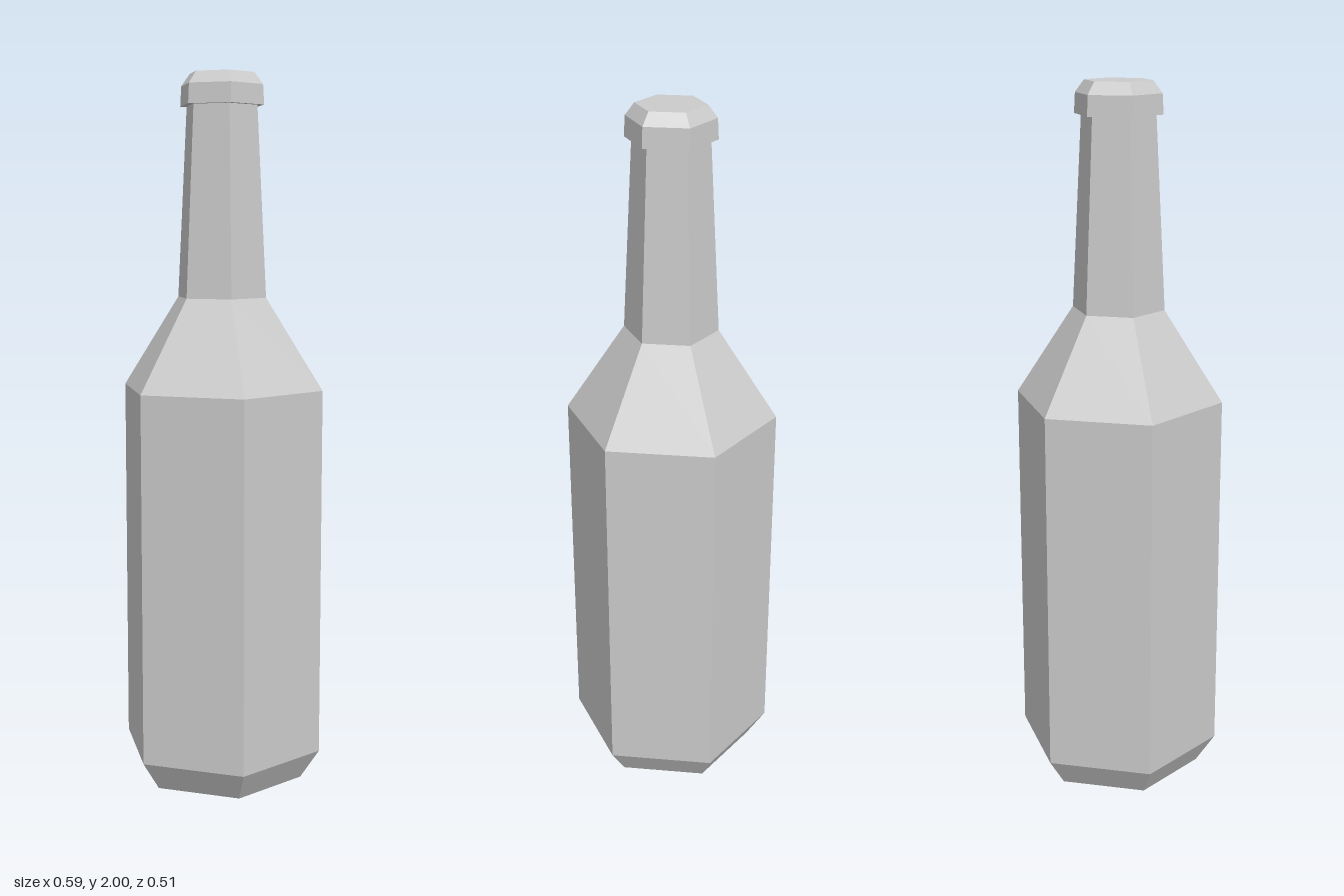
import * as THREE from 'three';

const SIDES = 6;

// Six-sided turned part; profile is [radius, height] from bottom to top, corners on the x axis
function turned(name, profile, material) {
  const points = profile.map(([r, y]) => new THREE.Vector2(r, y));
  const mesh = new THREE.Mesh(new THREE.LatheGeometry(points, SIDES, Math.PI / 2), material);
  mesh.name = name;
  return mesh;
}

export function createModel() {
  const group = new THREE.Group();
  group.name = 'bottle';
  const material = new THREE.MeshStandardMaterial({ color: 0xcccccc, flatShading: true });

  // Closed base with bevel, straight body and sloping shoulder
  group.add(turned('body', [[0, 0], [0.24, 0], [0.295, 0.085], [0.295, 1.13], [0.13, 1.385]], material));

  // Tapered neck
  group.add(turned('neck', [[0.13, 1.385], [0.103, 1.912]], material));

  // Cap overhanging the neck, with bevelled top
  group.add(turned('cap', [[0.103, 1.912], [0.122, 1.912], [0.119, 1.967], [0.094, 2], [0, 2]], material));

  return group;
}
